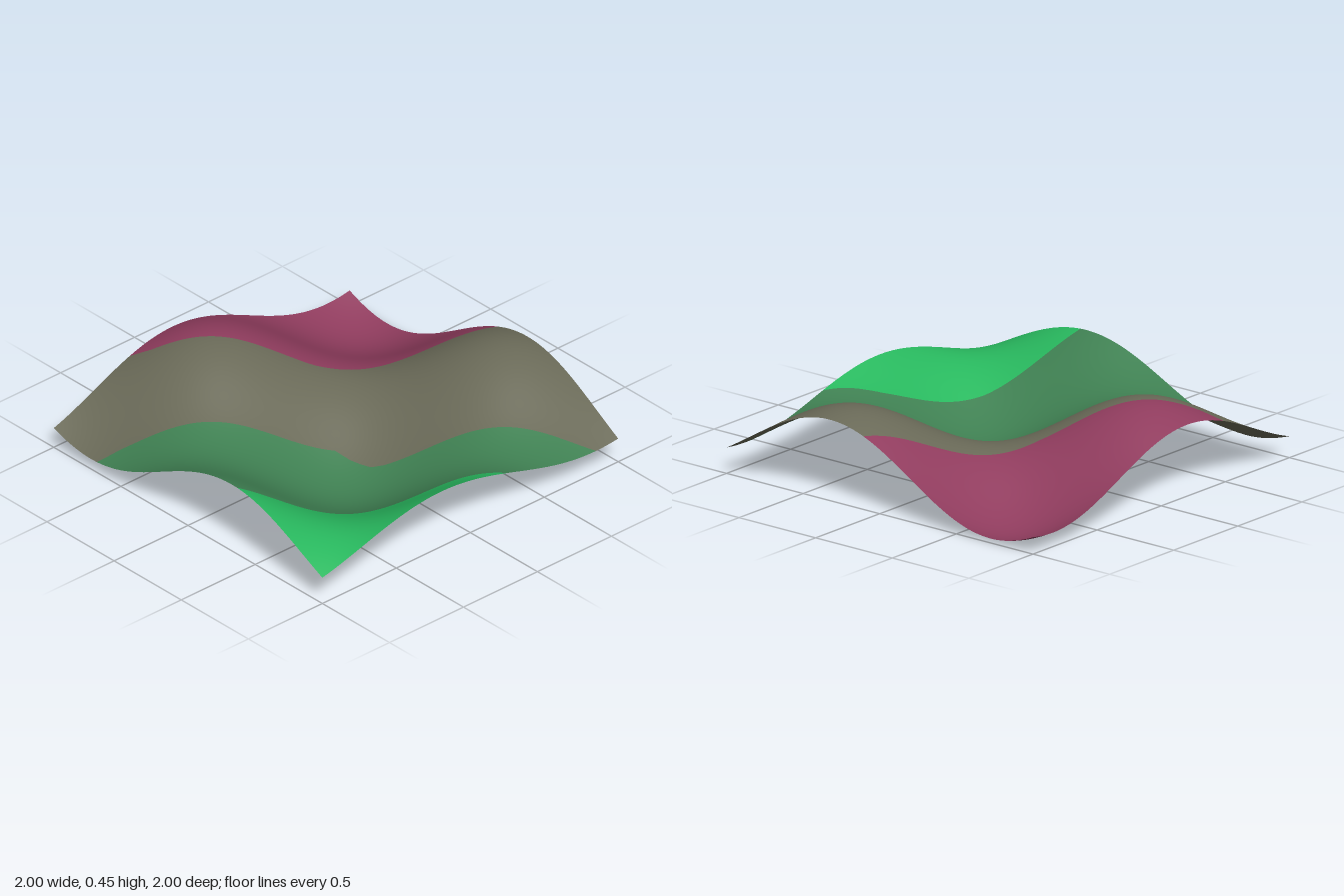
import * as THREE from 'three';

const A = 0.225, K = 3, X0 = -0.2, Z0 = 0.325;

// wave height and its upward normal
const height = (x, z) => A - A * Math.cos(K * (x - X0)) * Math.cos(K * (z - Z0));
const normal = (x, z) => new THREE.Vector3(
  -A * K * Math.sin(K * (x - X0)) * Math.cos(K * (z - Z0)), 1,
  -A * K * Math.cos(K * (x - X0)) * Math.sin(K * (z - Z0))).normalize();

// colour borders as [x, z] polylines, running from back to front
const borders = [
  [[-1, -1], [1, -1]],
  [[-1, -1], [-0.487, -1], [-0.42, -0.91], [0, -0.545], [0.2, -0.38], [1, 0.107]],
  [[-1, -0.68], [-0.9, -0.62], [-0.064, 0.064], [-0.04, 0.15], [0, 0.257], [0.05, 0.31], [0.85, 1], [1, 1]],
  [[-1, 0.364], [-0.5, 0.572], [0, 0.82], [0.07, 0.865], [0.25, 1], [1, 1]],
  [[-1, 1], [1, 1]],
];

function borderZ(line, x) {
  let i = 1;
  while (i < line.length - 1 && x > line[i][0]) i++;
  const [a, b] = [line[i - 1], line[i]];
  return THREE.MathUtils.mapLinear(x, a[0], b[0], a[1], b[1]);
}

// columns include every border corner so the borders stay crisp
const columns = [...new Set([
  ...Array.from({ length: 101 }, (_, i) => Math.round(i * 2 - 100) / 100),
  ...borders.flat().map(p => p[0]),
])].sort((a, b) => a - b);

// strip of the sheet between two borders
function bandGeometry(back, front, rows = 48) {
  const pos = [], nor = [], index = [];
  const widths = columns.map(x => borderZ(front, x) - borderZ(back, x));
  columns.forEach((x, i) => {
    for (let j = 0; j <= rows; j++) {
      const z = borderZ(back, x) + widths[i] * j / rows;
      pos.push(x, height(x, z), z);
      nor.push(...normal(x, z).toArray());
      if (i === 0 || j === 0) continue;
      const d = i * (rows + 1) + j, c = d - 1, b = d - rows - 1, a = b - 1;
      if (widths[i - 1] > 1e-6) index.push(a, b, c);
      if (widths[i] > 1e-6) index.push(b, d, c);
    }
  });
  const g = new THREE.BufferGeometry();
  g.setAttribute('position', new THREE.Float32BufferAttribute(pos, 3));
  g.setAttribute('normal', new THREE.Float32BufferAttribute(nor, 3));
  g.setIndex(index);
  return g;
}

export function createModel() {
  const group = new THREE.Group();
  group.name = 'waveSheet';
  const bands = [
    ['maroon', 0x903c5e], ['greyBrown', 0x6a6a58], ['mutedGreen', 0x3f8052], ['brightGreen', 0x28b85e],
  ];
  bands.forEach(([name, color], i) => {
    const material = new THREE.MeshStandardMaterial({ color, side: THREE.DoubleSide });
    material.name = name;
    const mesh = new THREE.Mesh(bandGeometry(borders[i], borders[i + 1]), material);
    mesh.name = name + 'Band';
    group.add(mesh);
  });
  return group;
}
